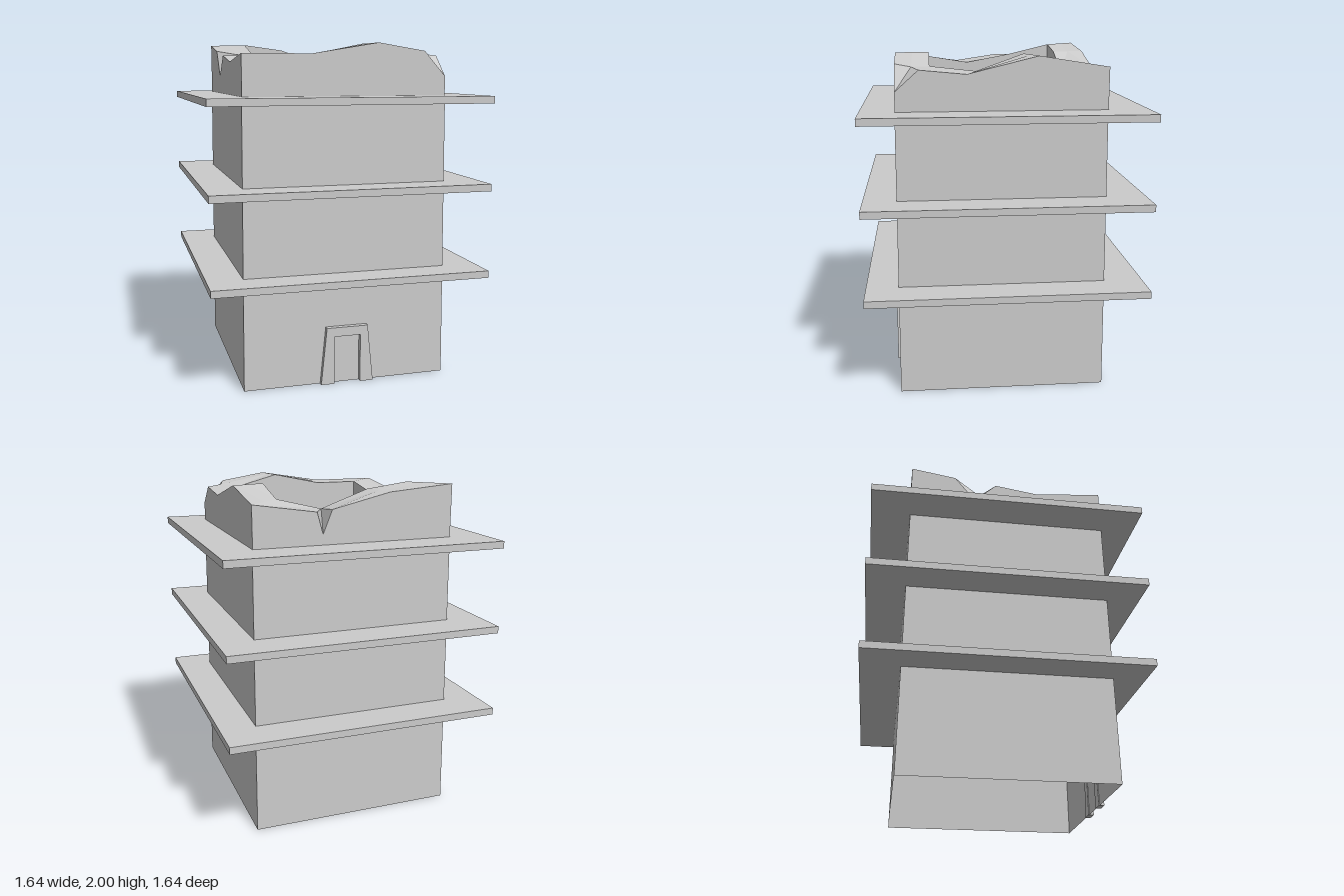
import * as THREE from 'three';

const CZ = 0.02; // the tower stands slightly forward of the slabs' centre

export function createModel() {
  const model = new THREE.Group();
  const mat = new THREE.MeshStandardMaterial({ color: 0xcccccc, flatShading: true, side: THREE.DoubleSide });

  const add = (name, geometry, x = 0, y = 0, z = 0) => {
    const mesh = new THREE.Mesh(geometry, mat);
    mesh.name = name;
    mesh.position.set(x, y, z);
    model.add(mesh);
    return mesh;
  };

  // Slightly tapering square shaft, open underneath
  const h = 1.66;
  const shaft = new THREE.CylinderGeometry(0.602 * Math.SQRT2, 0.615 * Math.SQRT2, h, 4, 1, true, Math.PI / 4).toNonIndexed();
  shaft.computeVertexNormals();
  add('towerWalls', shaft, 0, h / 2, CZ);

  // Three thin projecting ledges
  [0.625, 1.142, 1.648].forEach((y, i) =>
    add('ledge' + (i + 1), new THREE.BoxGeometry(1.64, 0.042, 1.64), 0, y + 0.021, 0));

  // Door surround, splayed outside and straight inside
  const frame = new THREE.Shape([
    [-0.16, 0], [-0.08, 0], [-0.08, 0.29], [0.08, 0.29], [0.08, 0],
    [0.16, 0], [0.125, 0.345], [-0.125, 0.345],
  ].map(([x, y]) => new THREE.Vector2(x, y)));
  add('doorFrame', new THREE.ExtrudeGeometry(frame, { depth: 0.033, bevelEnabled: false }), 0, 0, 0.63);

  // Sunken roof floor
  add('roofFloor', new THREE.BoxGeometry(0.81, 0.07, 0.81), 0, 1.715, CZ);

  add('brokenParapet', parapetGeometry());
  return model;
}

// Uneven parapet: stations run round the rim, each with an outer, a middle and an inner point
function parapetGeometry() {
  const F = 0.62, B = -0.583, IF = 0.422, IB = -0.386, X = 0.6, IX = 0.403;
  const base = 1.68, floor = 1.74;
  const stations = [];
  const post = (ox, oz, ix, iz, y) => stations.push({
    outer: [ox, y, oz], mid: [(ox + ix) / 2, y, (oz + iz) / 2], inner: [ix, y, iz],
  });
  // A chip: three outer points (edge, low tip, edge) meeting at one point on the rim
  const chip = (outers, mid, inner) => outers.forEach((outer) => stations.push({ outer, mid, inner }));

  // Front
  post(-X, F, -IX, IF, 1.927);
  post(-0.2, F, -0.14, IF, 1.927);
  post(0.19, F, 0.16, IF, 1.99);
  chip([[0.47, 1.945, F], [X, 1.8, F], [X, 1.92, 0.485]], [0.505, 1.93, 0.525], [IX, 1.925, IF]);
  // Left side
  post(X, 0.22, IX, 0.155, 1.895);
  post(X, -0.185, IX, -0.12, 1.993);
  // Back
  post(X, B, IX, IB, 1.93);
  const notch = [0.135, 1.865, IB];
  chip([[0.23, 1.875, B], [0.195, 1.75, B], [0.14, 1.885, B]], notch, notch);
  post(-0.21, B, -0.15, IB, 1.967);
  // Right side
  post(-X, B, -IX, IB, 2.0);
  chip([[-X, 1.957, -0.31], [-X, 1.8, -0.185], [-X, 1.925, -0.05]], [-0.475, 1.93, -0.14], [-IX, 1.937, -0.12]);
  post(-X, 0.22, -IX, 0.16, 1.885);

  // Skin the rows from the outer foot over the rim to the inner foot
  const rows = stations.map(({ outer, mid, inner }) => [
    [outer[0], base, outer[2]], outer, mid, inner, [inner[0], floor, inner[2]],
  ]);
  const same = (a, b) => a.every((v, k) => v === b[k]);
  const pos = [];
  const tri = (a, b, c) => {
    if (!same(a, b) && !same(b, c) && !same(a, c)) pos.push(...a, ...b, ...c);
  };
  rows.forEach((p, i) => {
    const q = rows[(i + 1) % rows.length];
    for (let r = 0; r < 4; r++) {
      tri(p[r], q[r], q[r + 1]);
      tri(p[r], q[r + 1], p[r + 1]);
    }
  });
  const g = new THREE.BufferGeometry();
  g.setAttribute('position', new THREE.Float32BufferAttribute(pos, 3));
  g.computeVertexNormals();
  return g;
}
